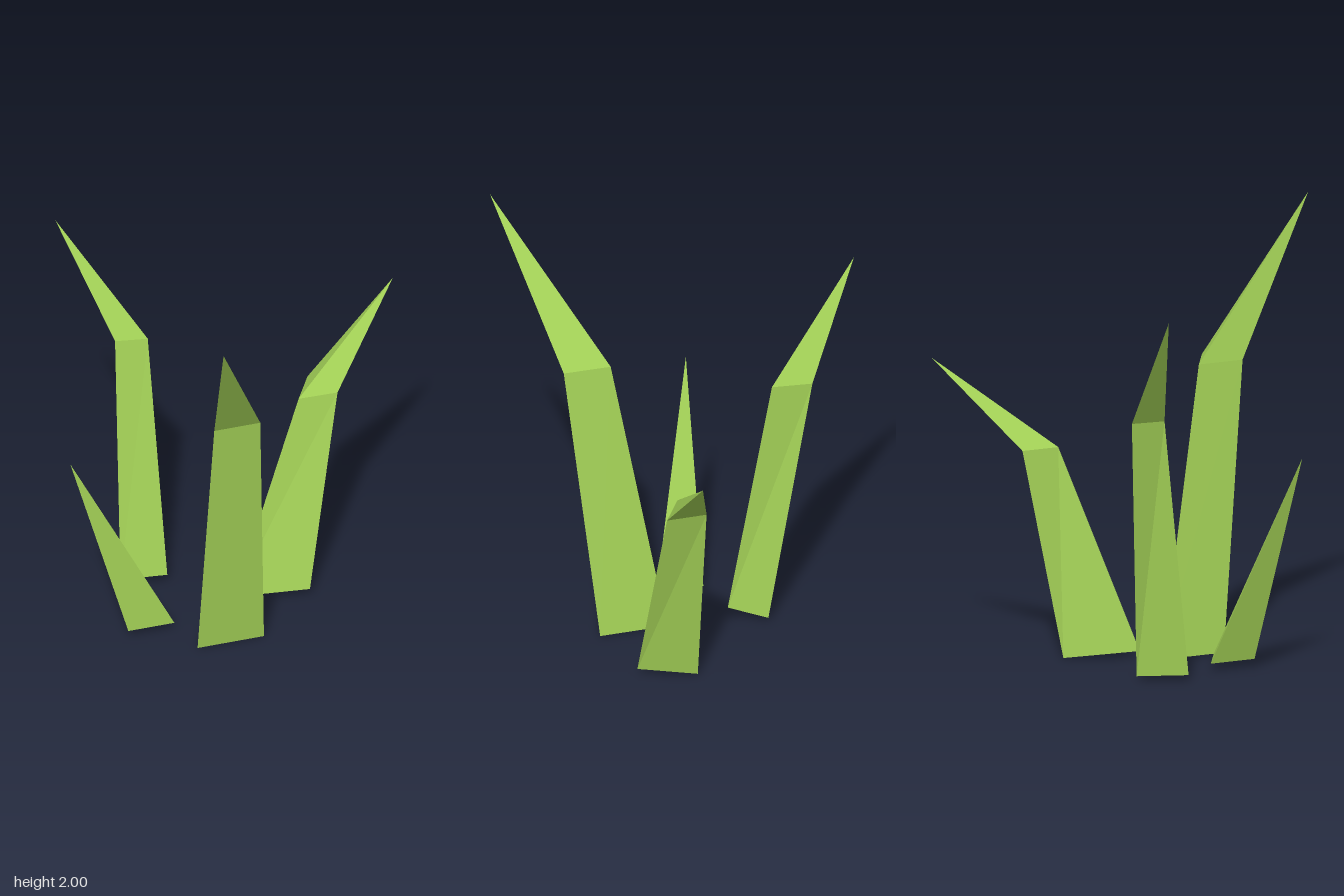
import * as THREE from 'three';

// Each blade is a list of three-cornered rings (counter-clockwise from above) ending in a tip.
const blades = [
  {
    name: 'tallFrontBlade', closed: true, tip: [-0.36, 2, 0.8],
    rings: [
      [[-0.295, 0, 0.205], [0.015, 0, 0.205], [-0.14, 0, -0.065]],
      [[-0.275, 1.3, 0.39], [-0.06, 1.3, 0.39], [-0.165, 1.3, 0.2]],
    ],
  },
  {
    name: 'backBlade', closed: true, tip: [-0.645, 1.73, -0.8],
    rings: [
      [[-0.475, 0.025, -0.37], [-0.275, 0.05, -0.31], [-0.28, 0.02, -0.495]],
      [[-0.45, 1.21, -0.53], [-0.305, 1.21, -0.505], [-0.37, 1.215, -0.675]],
    ],
  },
  {
    name: 'leftBlade', closed: true, tip: [0.825, 1.335, -0.46],
    rings: [
      [[-0.035, 0.03, -0.085], [0.305, 0.035, -0.035], [0.235, 0.005, -0.295]],
      [[0.31, 0.945, -0.22], [0.49, 0.945, -0.215], [0.4, 0.945, -0.375]],
    ],
  },
  {
    // short straight shoot, hollow underneath
    name: 'shortRightBlade', closed: false, tip: [-0.83, 0.985, 0.015],
    rings: [
      [[-0.565, 0.035, 0.035], [-0.35, 0.035, 0.035], [-0.455, 0.035, -0.155]],
    ],
  },
];

function bladeGeometry({ rings, tip, closed }) {
  const corners = [];
  const face = (...points) => points.forEach((p) => corners.push(...p));
  rings.forEach((ring, r) => {
    const next = rings[r + 1];
    for (let i = 0; i < 3; i++) {
      const j = (i + 1) % 3;
      if (next) {
        face(ring[i], ring[j], next[j]);
        face(ring[i], next[j], next[i]);
      } else {
        face(ring[i], ring[j], tip);
      }
    }
  });
  // underside
  if (closed) face(rings[0][0], rings[0][2], rings[0][1]);

  const geometry = new THREE.BufferGeometry();
  geometry.setAttribute('position', new THREE.Float32BufferAttribute(corners, 3));
  geometry.computeVertexNormals();
  return geometry;
}

export function createModel() {
  const group = new THREE.Group();
  group.name = 'grassTuft';
  const green = new THREE.MeshStandardMaterial({
    color: 0xa4d257, flatShading: true, side: THREE.DoubleSide,
  });
  for (const blade of blades) {
    const mesh = new THREE.Mesh(bladeGeometry(blade), green);
    mesh.name = blade.name;
    group.add(mesh);
  }
  return group;
}
